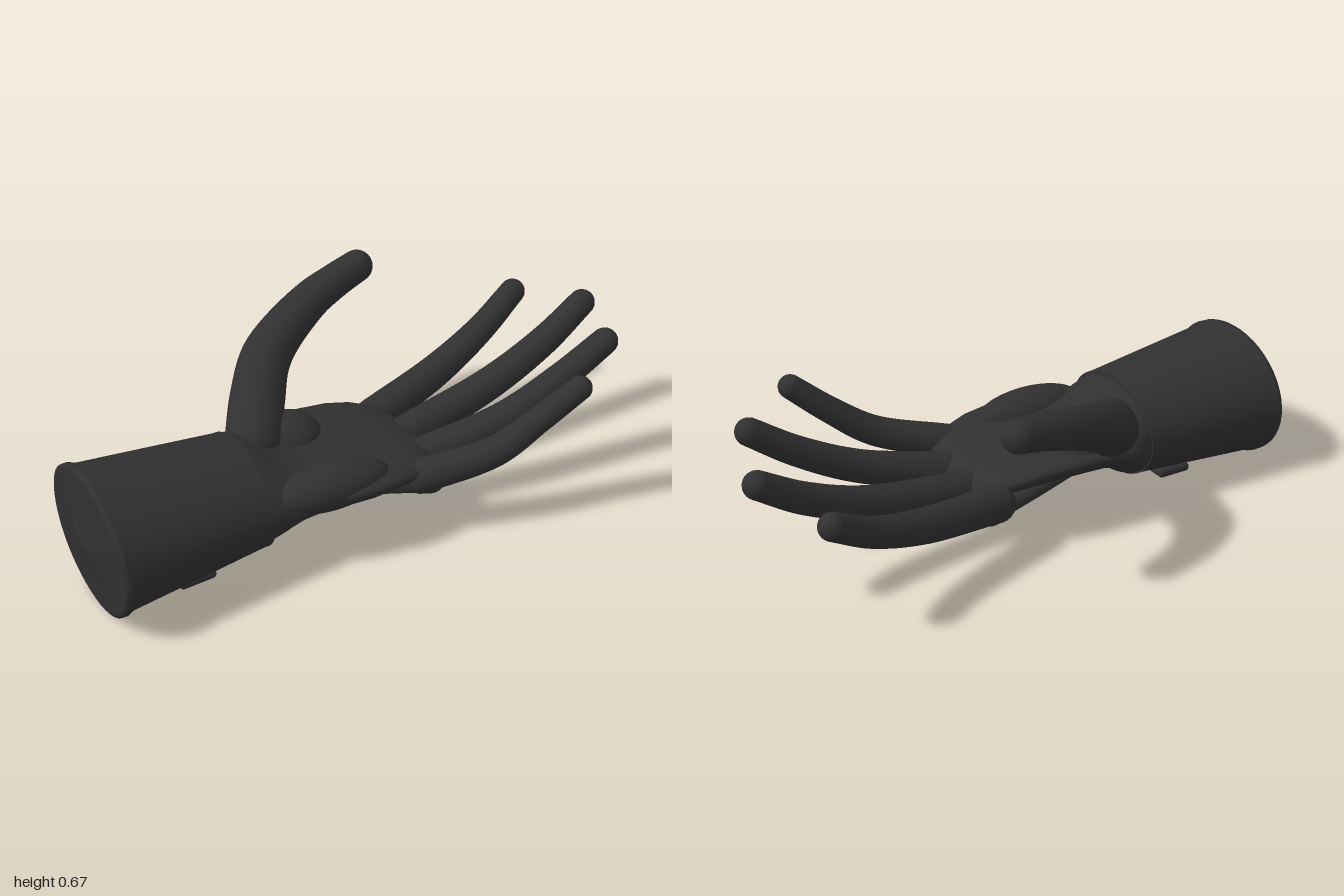
import * as THREE from 'three';
import { mergeGeometries } from 'three/addons/utils/BufferGeometryUtils.js';
import { RoundedBoxGeometry } from 'three/addons/geometries/RoundedBoxGeometry.js';

// Skin elliptical sections [x, y, z, ry, rz, bow]; a repeated section makes a crease.
// bow lifts the two sides of a section to cup it.
function loft(sections, sides = 48) {
  const pos = [], index = [];
  for (const [x, y, z, ry, rz, bow = 0] of sections) {
    for (let j = 0; j < sides; j++) {
      const a = (j / sides) * Math.PI * 2, c = Math.cos(a);
      pos.push(x, y + ry * Math.sin(a) + bow * c * c, z + rz * c);
    }
  }
  for (let i = 0; i < sections.length - 1; i++) {
    for (let j = 0; j < sides; j++) {
      const a = i * sides + j, b = i * sides + (j + 1) % sides;
      index.push(a, a + sides, b, b, a + sides, b + sides);
    }
  }
  const g = new THREE.BufferGeometry();
  g.setAttribute('position', new THREE.Float32BufferAttribute(pos, 3));
  g.setIndex(index);
  g.computeVertexNormals();
  return g;
}

// Tapered tube through joints [x, y, z, radius], with rounded ends
function limb(joints, steps = 40, sides = 24) {
  const curve = new THREE.CatmullRomCurve3(joints.map(j => new THREE.Vector3(j[0], j[1], j[2])), false, 'centripetal');
  const g = new THREE.TubeGeometry(curve, steps, 1, sides);
  const p = g.attributes.position, v = new THREE.Vector3();
  for (let i = 0; i <= steps; i++) {
    const t = curve.getUtoTmapping(i / steps) * (joints.length - 1);
    const k = Math.min(Math.floor(t), joints.length - 2);
    const r = THREE.MathUtils.lerp(joints[k][3], joints[k + 1][3], t - k);
    const centre = curve.getPointAt(i / steps);
    for (let j = 0; j <= sides; j++) {
      const n = i * (sides + 1) + j;
      v.fromBufferAttribute(p, n).sub(centre).multiplyScalar(r).add(centre);
      p.setXYZ(n, v.x, v.y, v.z);
    }
  }
  const ends = [joints[0], joints[joints.length - 1]].map(
    ([x, y, z, r]) => new THREE.SphereGeometry(r, sides, 16).translate(x, y, z));
  return mergeGeometries([g, ...ends]);
}

function ellipsoid(x, y, z, rx, ry, rz) {
  return new THREE.SphereGeometry(1, 32, 20).scale(rx, ry, rz).translate(x, y, z);
}

export function createModel() {
  const model = new THREE.Group();
  model.name = 'glove';
  const fabric = new THREE.MeshStandardMaterial({ color: 0x303030 });
  fabric.name = 'charcoal fabric';
  const add = (name, geometry) => {
    const mesh = new THREE.Mesh(geometry, fabric);
    mesh.name = name;
    model.add(mesh);
    return mesh;
  };

  // Flared cuff with a slightly domed closed end
  const Y = 0.245, Z = 0.053;
  add('cuff', loft([
    [-1, Y, Z, 0, 0], [-0.997, Y, Z, 0.05, 0.06], [-0.975, Y, Z, 0.12, 0.145], [-0.972, Y, Z, 0.222, 0.27],
    [-0.972, Y, Z, 0.222, 0.27], [-0.968, Y, Z, 0.234, 0.283], [-0.95, Y, Z, 0.235, 0.284],
    [-0.93, Y, Z, 0.226, 0.274], [-0.7, Y, Z, 0.202, 0.253], [-0.46, Y, Z, 0.176, 0.231],
    [-0.44, Y, Z, 0.175, 0.232], [-0.44, Y, Z, 0.175, 0.232], [-0.438, Y, Z, 0.15, 0.2],
  ]));

  // Tab under the cuff
  const tab = add('cuffTab', new RoundedBoxGeometry(0.13, 0.032, 0.205, 4, 0.014));
  tab.position.set(-0.655, 0.027, 0.058);
  tab.rotation.z = 0.04;

  // Wrist and cupped palm
  add('palm', loft([
    [-0.46, Y, Z, 0.166, 0.22], [-0.42, Y, 0.045, 0.16, 0.228], [-0.38, 0.245, 0.04, 0.135, 0.235],
    [-0.33, 0.25, 0.04, 0.095, 0.25, 0.01], [-0.26, 0.245, 0.05, 0.078, 0.255, 0.03],
    [-0.18, 0.24, 0.06, 0.072, 0.265, 0.04], [-0.1, 0.236, 0.068, 0.068, 0.266, 0.045],
    [0, 0.232, 0.07, 0.064, 0.255, 0.045], [0.08, 0.226, 0.07, 0.061, 0.235, 0.04],
    [0.14, 0.22, 0.068, 0.056, 0.205, 0.03], [0.19, 0.212, 0.065, 0.042, 0.155, 0.015],
    [0.22, 0.207, 0.06, 0.02, 0.09], [0.23, 0.205, 0.06, 0, 0],
  ]));
  add('thumbMound', ellipsoid(-0.21, 0.285, -0.075, 0.125, 0.085, 0.11));
  const heel = add('palmHeel', ellipsoid(0, 0, 0, 0.205, 0.075, 0.085));
  heel.position.set(-0.21, 0.287, 0.232);
  heel.rotation.y = -0.05;

  // Thumb
  add('thumb', limb([
    [-0.33, 0.32, -0.07, 0.095], [-0.25, 0.385, -0.19, 0.093], [-0.15, 0.47, -0.3, 0.085],
    [0.05, 0.563, -0.385, 0.068], [0.17, 0.6, -0.41, 0.06], [0.27, 0.623, -0.427, 0.056],
  ]));

  // Fingers, with a knuckle and tendon ridge on the back of the hand
  const fingers = {
    index: [[0.16, 0.205, -0.13, 0.065], [0.47, 0.262, -0.2, 0.058], [0.68, 0.335, -0.25, 0.05], [0.835, 0.425, -0.285, 0.045]],
    middle: [[0.18, 0.2, 0.01, 0.064], [0.56, 0.28, -0.01, 0.057], [0.79, 0.377, -0.02, 0.052], [0.948, 0.478, -0.028, 0.046]],
    ring: [[0.17, 0.202, 0.145, 0.064], [0.48, 0.29, 0.2, 0.056], [0.69, 0.4, 0.225, 0.05], [0.838, 0.503, 0.247, 0.046]],
    little: [[0.1, 0.235, 0.275, 0.058], [0.33, 0.305, 0.36, 0.052], [0.47, 0.405, 0.4, 0.045], [0.592, 0.51, 0.442, 0.041]],
  };
  for (const [name, joints] of Object.entries(fingers)) {
    const [x, y, z] = joints[0];
    add(name + 'Finger', limb(joints));
    add(name + 'Knuckle', ellipsoid(x + 0.03, y - 0.012, z, 0.06, 0.055, 0.06));
    add(name + 'Tendon', limb([
      [-0.3, 0.205, 0.05 + (z - 0.05) * 0.5, 0.02], [-0.08, y - 0.012, 0.05 + (z - 0.05) * 0.8, 0.022], [x, y - 0.03, z, 0.03],
    ], 20, 16));
  }
  return model;
}
